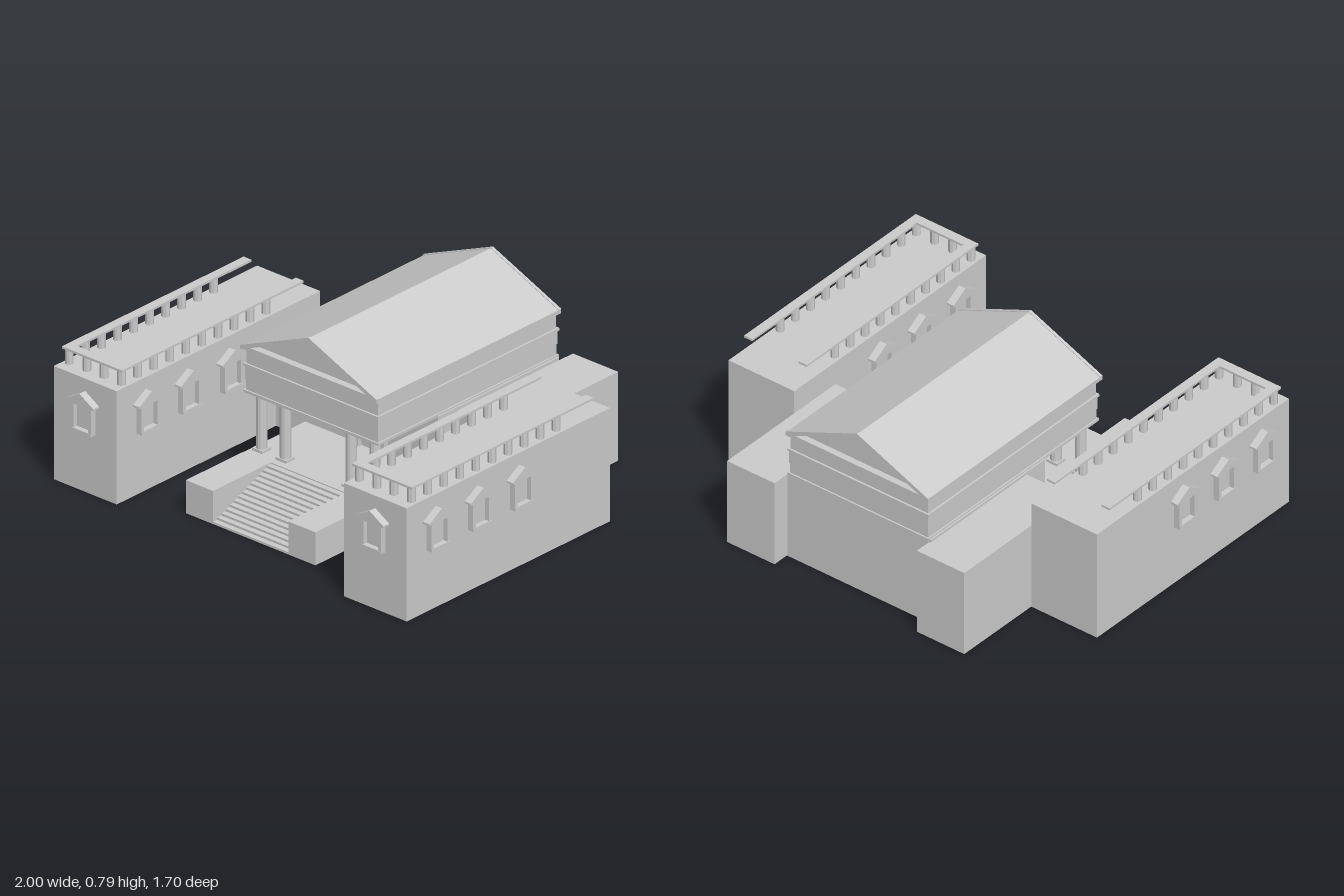
import * as THREE from 'three';

const mat = new THREE.MeshStandardMaterial({ color: 0xcccccc, flatShading: true, side: THREE.DoubleSide });

function add(parent, geo, name) {
  const m = new THREE.Mesh(geo, mat);
  m.name = name;
  parent.add(m);
  return m;
}

// box given by its limits; open = no underside
function box(parent, name, x0, x1, y0, y1, z0, z1, open = false) {
  const g = new THREE.BoxGeometry(x1 - x0, y1 - y0, z1 - z0);
  if (open) {
    const idx = Array.from(g.index.array);
    idx.splice(18, 6);
    g.setIndex(idx);
    g.clearGroups();
  }
  g.translate((x0 + x1) / 2, (y0 + y1) / 2, (z0 + z1) / 2);
  return add(parent, g, name);
}

// x-y outline pushed along z
function prism(parent, name, pts, z0, z1) {
  const s = new THREE.Shape(pts.map(p => new THREE.Vector2(p[0], p[1])));
  const g = new THREE.ExtrudeGeometry(s, { depth: z1 - z0, bevelEnabled: false });
  g.translate(0, 0, z0);
  return add(parent, g, name);
}

function post(parent, name, r, sides, x, y0, y1, z) {
  const g = new THREE.CylinderGeometry(r, r, y1 - y0, sides);
  g.translate(x, (y0 + y1) / 2, z);
  return add(parent, g, name);
}

// framed window with a small gable, facing +z, sill at the origin
function makeWindow() {
  const w = new THREE.Group();
  w.name = 'window';
  for (const s of [-1, 1]) box(w, 'windowJamb', s * 0.048 - 0.008, s * 0.048 + 0.008, 0, 0.13, 0, 0.028);
  box(w, 'windowSill', -0.056, 0.056, 0, 0.014, 0, 0.03);
  box(w, 'windowPane', -0.045, 0.045, 0.01, 0.13, 0, 0.006);
  prism(w, 'windowGable', [[-0.076, 0.128], [0.076, 0.128], [0.076, 0.137], [0, 0.182], [-0.076, 0.137]], 0, 0.035);
  return w;
}

function placeWindow(parent, x, y, z, turn) {
  const w = makeWindow();
  w.position.set(x, y, z);
  w.rotation.y = turn;
  parent.add(w);
}

// long wing with windows and a roof balustrade, on side s
function makeWing(s) {
  const g = new THREE.Group();
  g.name = s > 0 ? 'leftWing' : 'rightWing';
  const cx = s * 0.793, hw = 0.172;
  box(g, 'wingBlock', cx - hw, cx + hw, 0, 0.513, -0.42, 0.81, true);
  placeWindow(g, cx, 0.275, 0.81, 0);
  for (const z of [0.635, 0.383, 0.13])
    for (const d of [-1, 1]) placeWindow(g, cx + d * hw, 0.278, z, d * Math.PI / 2);

  // balustrade: three rails on posts
  for (const d of [-1, 1]) {
    const x = cx + d * 0.143;
    box(g, 'sideRail', x - 0.021, x + 0.021, 0.58, 0.59, -0.33, 0.77);
    for (let i = 0; i < 10; i++) post(g, 'balusterPost', 0.018, 8, x, 0.513, 0.58, 0.748 - i * 0.097);
  }
  box(g, 'frontRail', cx - 0.164, cx + 0.164, 0.58, 0.59, 0.725, 0.77);
  for (const d of [-1, 1]) post(g, 'balusterPost', 0.018, 8, cx + d * 0.047, 0.513, 0.58, 0.748);
  return g;
}

// lower block between wing and hall
function makeFlank(s) {
  const g = new THREE.Group();
  g.name = s > 0 ? 'leftFlank' : 'rightFlank';
  const cx = s * 0.497;
  box(g, 'flankBlock', cx - 0.124, cx + 0.124, 0, 0.403, -0.85, -0.155, true);
  placeWindow(g, cx, 0.197, -0.155, 0);
  return g;
}

function makeHall() {
  const g = new THREE.Group();
  g.name = 'hall';
  g.position.x = -0.006;
  box(g, 'hallWalls', -0.375, 0.375, 0, 0.415, -0.77, -0.04, true);

  // podium, cheek walls and stairs
  box(g, 'porchFloor', -0.352, 0.352, 0, 0.15, -0.04, 0.33, true);
  for (const s of [-1, 1]) {
    const c = s * 0.28;
    box(g, 'stairCheek', c - 0.074, c + 0.074, 0, 0.15, 0.33, 0.68, true);
  }
  const n = 14, h = 0.145 / n, d = 0.35 / n;
  for (let i = 0; i < n; i++) {
    const z1 = 0.68 - i * d;
    box(g, 'stairStep', -0.206, 0.206, i * h, (i + 1) * h, z1 - d, z1);
  }

  // columns with square base and capital
  for (const x of [-0.31, -0.18, 0.18, 0.31]) {
    post(g, 'column', 0.024, 12, x, 0.15, 0.415, 0.27);
    box(g, 'columnBase', x - 0.028, x + 0.028, 0.15, 0.162, 0.242, 0.298);
    box(g, 'columnCapital', x - 0.028, x + 0.028, 0.4, 0.415, 0.242, 0.298);
  }

  // door
  box(g, 'doorPanel', -0.04, 0.085, 0.15, 0.375, -0.045, -0.035);
  for (const x of [-0.05, 0.09]) box(g, 'doorJamb', x - 0.01, x + 0.01, 0.15, 0.39, -0.04, -0.015);
  box(g, 'doorLintel', -0.06, 0.1, 0.373, 0.39, -0.04, -0.012);

  // stepped entablature: [half width, bottom, top]
  const bands = [[0.368, 0.41, 0.422], [0.361, 0.422, 0.47], [0.364, 0.47, 0.53],
    [0.369, 0.53, 0.542], [0.36, 0.542, 0.605], [0.37, 0.605, 0.622]];
  for (const [w, y0, y1] of bands) box(g, 'entablatureBand', -w, w, y0, y1, -0.41 - w, w - 0.052);

  // pediment walls and overhanging roof
  prism(g, 'pedimentWall', [[-0.355, 0.615], [0.355, 0.615], [0, 0.768]], -0.75, 0.285);
  prism(g, 'roof', [[-0.371, 0.61], [-0.371, 0.625], [0, 0.782], [0.371, 0.625], [0.371, 0.61], [0, 0.762]], -0.782, 0.322);
  for (const [z0, z1] of [[-0.786, -0.772], [0.318, 0.332]])
    prism(g, 'roofEdge', [[-0.373, 0.608], [-0.373, 0.628], [0, 0.785], [0.373, 0.628], [0.373, 0.608], [0, 0.765]], z0, z1);
  return g;
}

export function createModel() {
  const model = new THREE.Group();
  model.name = 'building';
  model.add(makeHall());
  for (const s of [-1, 1]) model.add(makeWing(s), makeFlank(s));
  return model;
}
